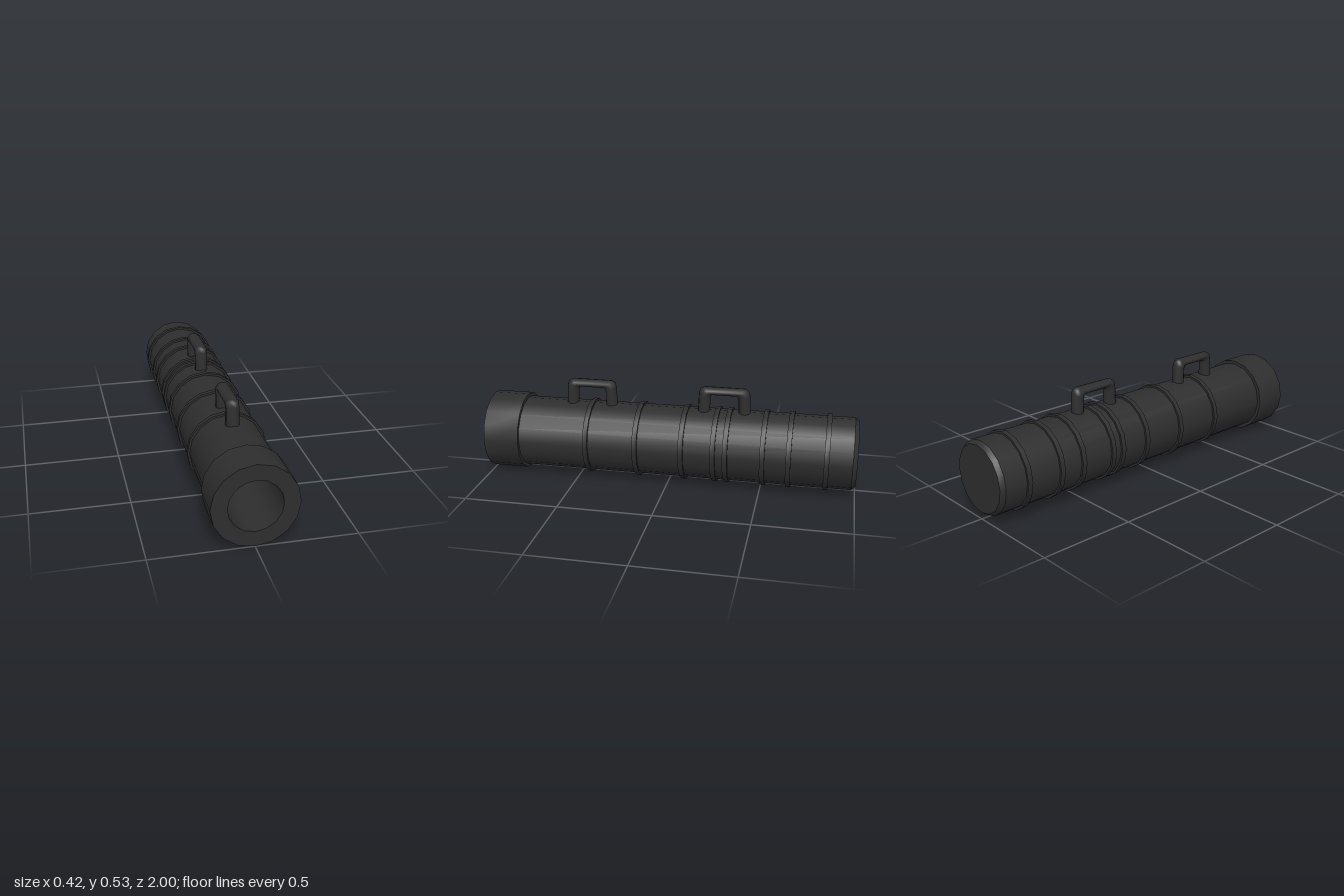
import * as THREE from 'three';
import { toCreasedNormals } from 'three/addons/utils/BufferGeometryUtils.js';

const SIDES = 16;
const AXIS_Y = 0.211;

// Turned part along z; profile rows are [radius, z]
function turned(name, profile, material) {
  const points = profile.map(([r, z]) => new THREE.Vector2(r, z));
  const geometry = new THREE.LatheGeometry(points, SIDES);
  geometry.rotateX(Math.PI / 2);
  const mesh = new THREE.Mesh(toCreasedNormals(geometry, 0.6), material);
  mesh.name = name;
  mesh.position.y = AXIS_Y;
  return mesh;
}

// Bent grip: each section runs from an outer to an inner point, [zOuter, yOuter, zInner, yInner]
function handleGeometry() {
  const half = [
    [0.143, 0.36, 0.077, 0.36],
    [0.137, 0.5, 0.075, 0.47],
    [0.128, 0.522, 0.07, 0.485],
    [0.11, 0.531, 0.062, 0.489],
  ];
  const mirrored = half.map(([a, b, c, d]) => [-a, b, -c, d]).reverse();
  const sections = [...half, ...mirrored];
  const sides = 10, width = 0.034;
  const positions = [], index = [];
  for (const [zo, yo, zi, yi] of sections) {
    for (let j = 0; j < sides; j++) {
      const a = (j / sides) * Math.PI * 2;
      const c = Math.cos(a) / 2;
      positions.push(Math.sin(a) * width, (yo + yi) / 2 + c * (yo - yi), (zo + zi) / 2 + c * (zo - zi));
    }
  }
  for (let i = 0; i < sections.length - 1; i++) {
    for (let j = 0; j < sides; j++) {
      const k = (j + 1) % sides;
      const a = i * sides + j, b = i * sides + k;
      index.push(a, b, a + sides, b, b + sides, a + sides);
    }
  }
  const geometry = new THREE.BufferGeometry();
  geometry.setAttribute('position', new THREE.Float32BufferAttribute(positions, 3));
  geometry.setIndex(index);
  geometry.computeVertexNormals();
  return geometry;
}

export function createModel() {
  const group = new THREE.Group();
  group.name = 'tube';
  const black = new THREE.MeshStandardMaterial({ color: 0x2e2e2e });
  black.name = 'matte black';

  // Main tube with bevelled rear cap
  group.add(turned('body', [[0, -1], [0.175, -1], [0.192, -0.977], [0.192, 0.82]], black));

  // Front collar leading into the hollow bore
  group.add(turned('collarAndBore', [
    [0.185, 0.807], [0.211, 0.807], [0.211, 1], [0.132, 1], [0.132, -0.9], [0, -0.9],
  ], black));

  // Raised bands around the tube
  for (const z of [0.433, 0.162, -0.086, -0.256, -0.321, -0.515, -0.65, -0.845]) {
    const w = 0.013;
    group.add(turned('band', [
      [0.185, z - w], [0.203, z - w], [0.203, z + w], [0.185, z + w],
    ], black));
  }

  // Two carrying handles on top
  const grip = handleGeometry();
  for (const [name, z] of [['frontHandle', 0.437], ['rearHandle', -0.289]]) {
    const handle = new THREE.Mesh(grip, black);
    handle.name = name;
    handle.position.z = z;
    group.add(handle);
  }
  return group;
}
